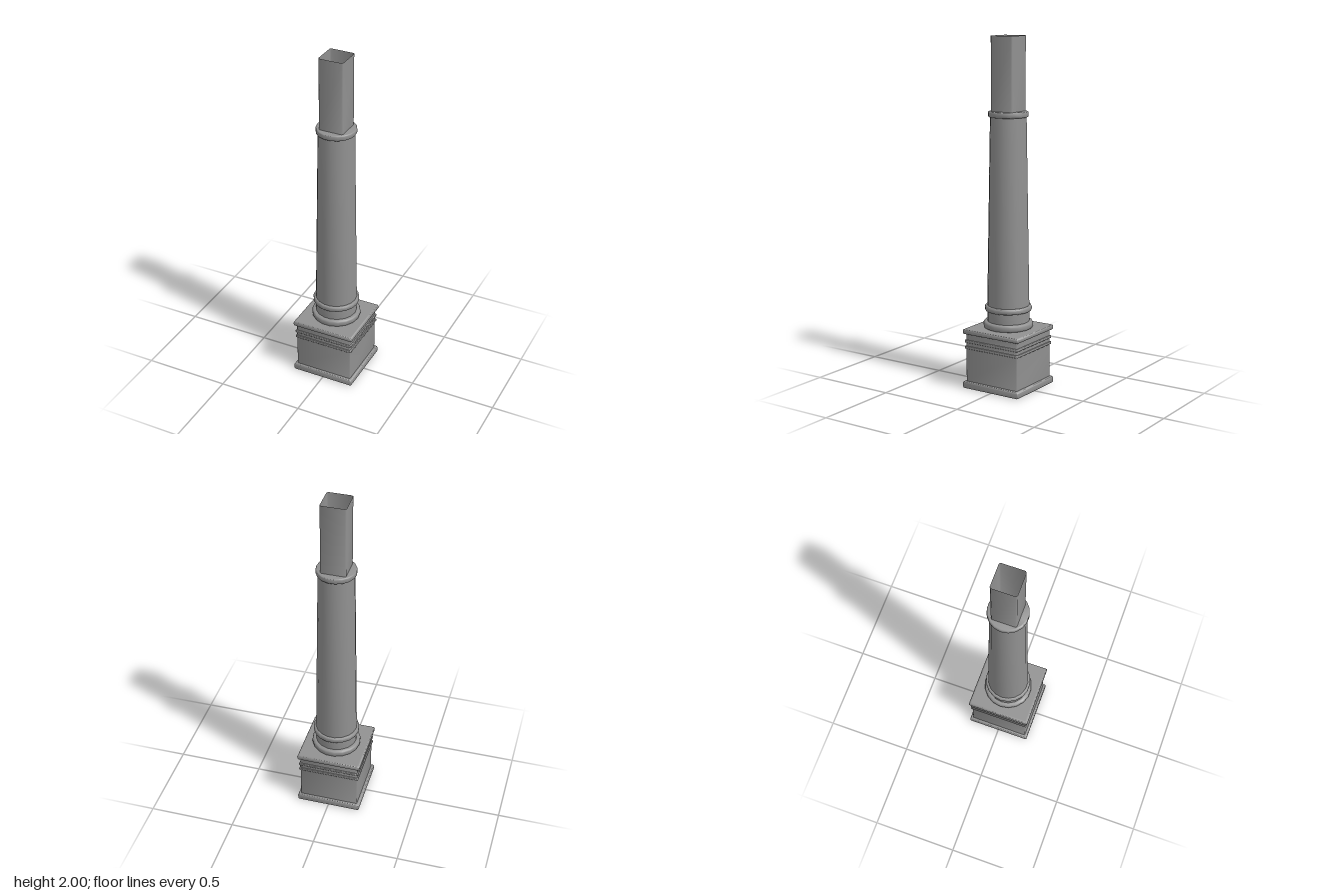
import * as THREE from 'three';
import { toCreasedNormals } from 'three/addons/utils/BufferGeometryUtils.js';

const material = new THREE.MeshStandardMaterial({ color: 0x919191, side: THREE.DoubleSide });

// Moulding from y0 to y1 standing out from radius inner to outer, edges softly rounded.
function bead(inner, outer, y0, y1) {
  const r = Math.min((y1 - y0) / 2, outer - inner) * 0.6;
  const pts = [[inner, y0]];
  for (let i = 0; i <= 2; i++) {
    const a = (i / 2) * Math.PI / 2;
    pts.push([outer - r + r * Math.sin(a), y0 + r - r * Math.cos(a)]);
  }
  for (let i = 0; i <= 2; i++) {
    const a = (i / 2) * Math.PI / 2;
    pts.push([outer - r + r * Math.cos(a), y1 - r + r * Math.sin(a)]);
  }
  pts.push([inner, y1]);
  return pts;
}

// Sweeps a [half width, height] profile around a square with softened corners.
function squareLoft(profile, corner) {
  const n = 8;
  const positions = [];
  const index = [];
  for (const [half, y] of profile) {
    const r = Math.min(corner, half);
    for (let c = 0; c < 4; c++) {
      const mid = Math.PI / 4 + c * Math.PI / 2;
      const cx = Math.sign(Math.cos(mid)) * (half - r);
      const cz = Math.sign(Math.sin(mid)) * (half - r);
      for (let s = 0; s <= 1; s++) {
        const a = (c + s) * Math.PI / 2;
        positions.push(cx + r * Math.cos(a), y, cz + r * Math.sin(a));
      }
    }
  }
  for (let j = 0; j < profile.length - 1; j++) {
    for (let i = 0; i < n; i++) {
      const a = j * n + i;
      const b = j * n + (i + 1) % n;
      index.push(a, a + n, b, b, a + n, b + n);
    }
  }
  const geometry = new THREE.BufferGeometry();
  geometry.setAttribute('position', new THREE.Float32BufferAttribute(positions, 3));
  geometry.setIndex(index);
  return geometry;
}

// Round part with 18 sides, a flat side facing the front.
function turned(profile) {
  return new THREE.LatheGeometry(profile.map(([r, y]) => new THREE.Vector2(r, y)), 18)
    .rotateY(Math.PI / 18);
}

export function createModel() {
  const group = new THREE.Group();
  const add = (name, geometry) => {
    const mesh = new THREE.Mesh(toCreasedNormals(geometry, 0.9), material);
    mesh.name = name;
    group.add(mesh);
  };

  // Hollow square pedestal with foot, two ridges and a cap slab
  add('pedestal', squareLoft([
    ...bead(0.173, 0.188, 0, 0.042),
    ...bead(0.173, 0.18, 0.234, 0.25),
    ...bead(0.173, 0.18, 0.27, 0.286),
    ...bead(0.173, 0.188, 0.32, 0.35),
    [0, 0.35],
  ], 0.004));

  // Round base mouldings and neck
  add('columnBase', turned([
    ...bead(0.12, 0.142, 0.35, 0.39),
    ...bead(0.12, 0.134, 0.45, 0.482),
  ]));

  // Tapering shaft
  add('shaft', turned([[0.12, 0.482], [0.102, 1.555]]));

  // Collar closing the top of the shaft
  add('collar', turned([...bead(0.102, 0.113, 1.553, 1.585), [0, 1.585]]));

  // Open square tube above the collar
  add('post', squareLoft([[0.072, 1.585], [0.072, 2]], 0.007));

  return group;
}
